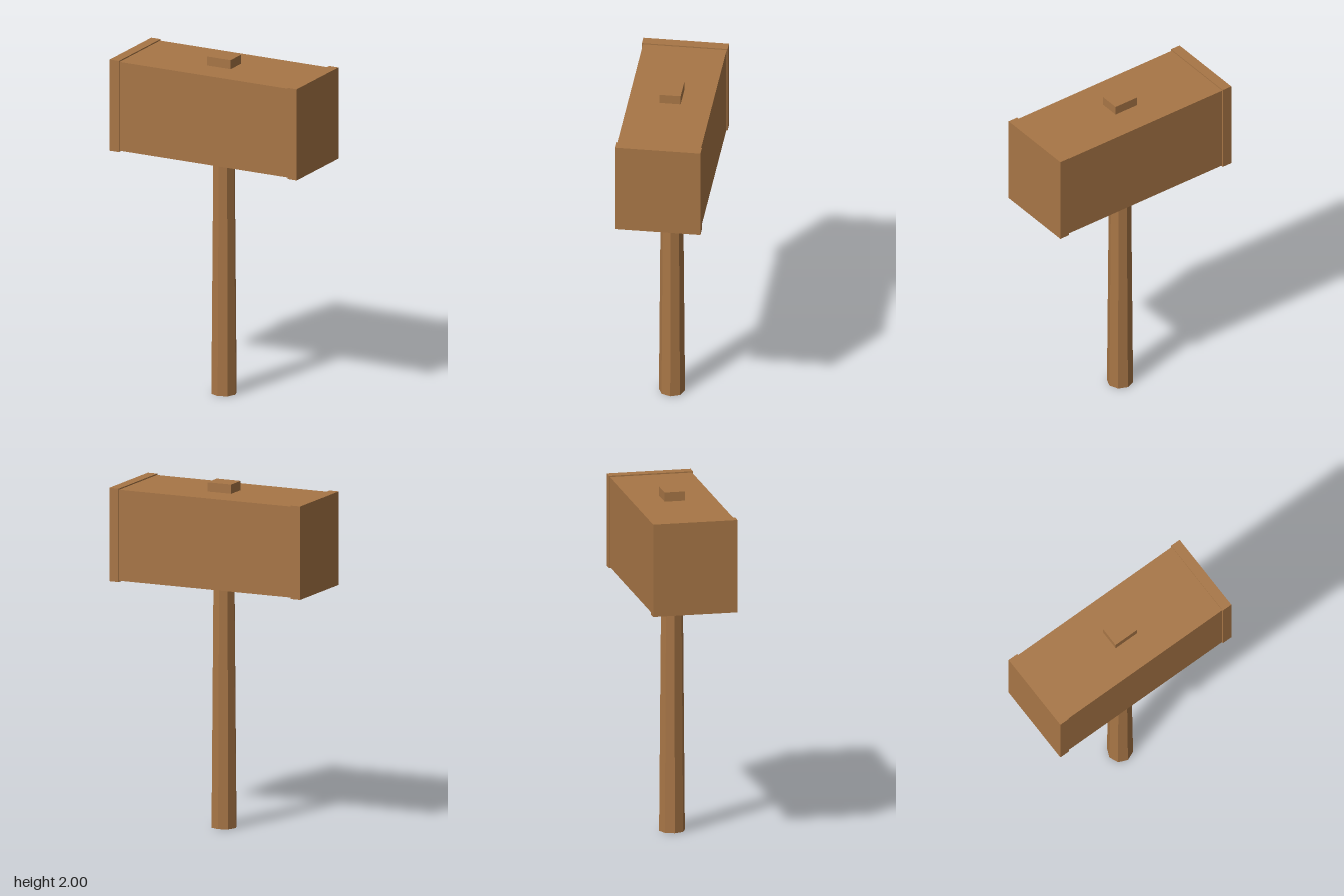
import * as THREE from 'three';

export function createModel() {
  const wood = new THREE.MeshStandardMaterial({ color: 0xa87646, flatShading: true });
  wood.name = 'wood';

  const model = new THREE.Group();
  model.name = 'mallet';

  const add = (name, geometry, x, y, z = 0) => {
    const mesh = new THREE.Mesh(geometry, wood);
    mesh.name = name;
    mesh.position.set(x, y, z);
    model.add(mesh);
    return mesh;
  };

  // Octagonal handle, slightly thinner towards the head
  const handleHeight = 1.45;
  add('handle', new THREE.CylinderGeometry(0.063, 0.075, handleHeight, 8), 0, handleHeight / 2);

  // Head block
  const headY = 1.683;
  add('headBlock', new THREE.BoxGeometry(1.1, 0.527, 0.478), 0, headY);

  // Slightly larger striking plates on both ends
  for (const side of [-1, 1]) {
    const name = side > 0 ? 'leftStrikingPlate' : 'rightStrikingPlate';
    add(name, new THREE.BoxGeometry(0.06, 0.541, 0.49), side * 0.576, headY);
  }

  // Handle tenon standing out of the top of the head
  add('tenon', new THREE.BoxGeometry(0.152, 0.08, 0.12), 0, 1.96);

  return model;
}
